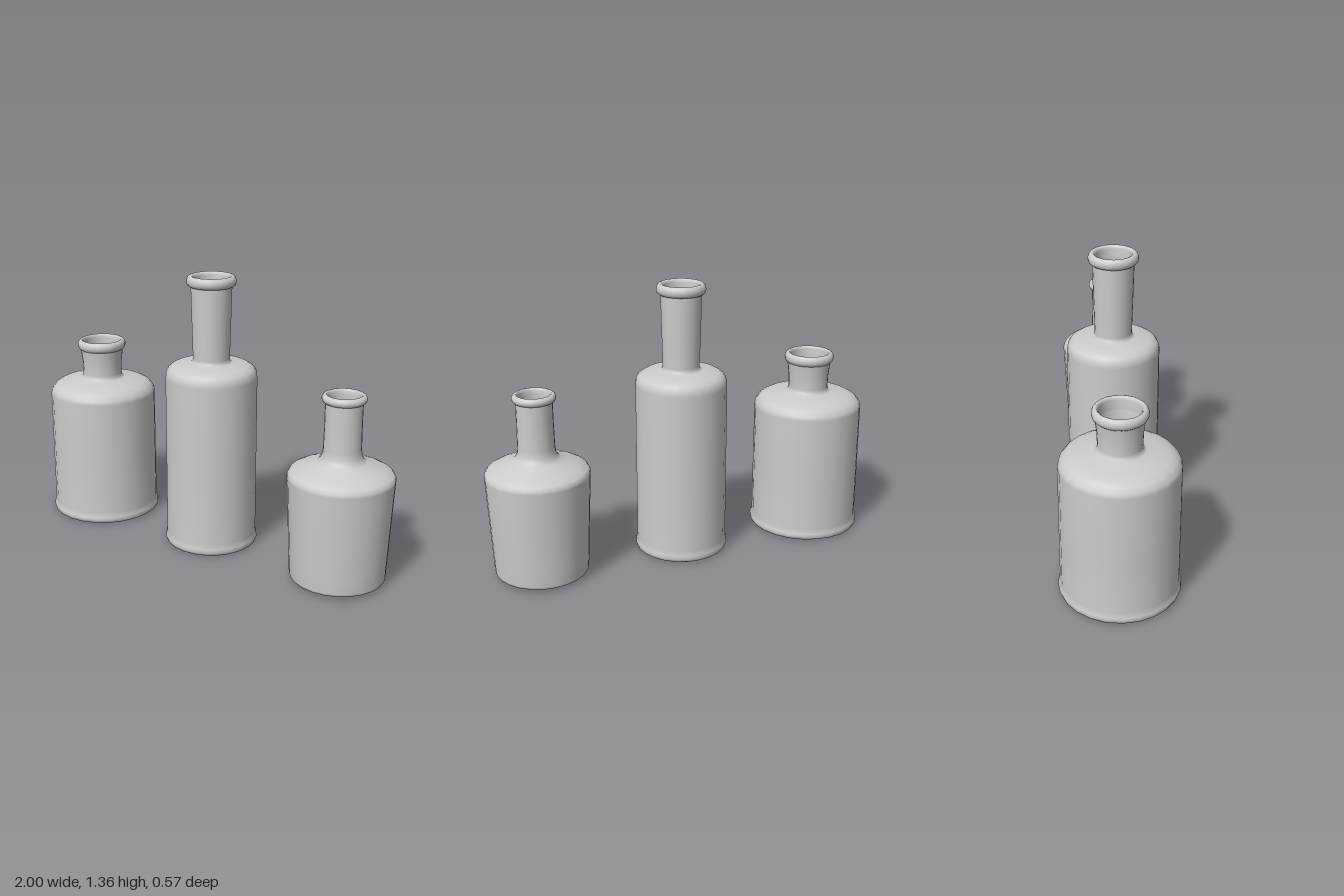
import * as THREE from 'three';

const SEGMENTS = 24;
const WALL = 0.014;

const material = new THREE.MeshStandardMaterial({ color: 0xcccccc, side: THREE.DoubleSide });

function lathe(name, points) {
  const geometry = new THREE.LatheGeometry(points.map(([r, y]) => new THREE.Vector2(r, y)), SEGMENTS);
  const mesh = new THREE.Mesh(geometry, material);
  mesh.name = name;
  return mesh;
}

// Rounded ring around the mouth, from the outside under-edge over to the bore
function lipProfile(r, bore, y0, y1) {
  const h = (y1 - y0) / 2, mid = (y0 + y1) / 2, points = [[bore + 0.004, y0]];
  for (let i = 0; i <= 8; i++) {
    const a = -Math.PI / 2 + (i / 8) * Math.PI;
    points.push([r - 0.02 + 0.02 * Math.cos(a), mid + h * Math.sin(a)]);
  }
  points.push([bore + 0.006, y1 - 0.004], [bore, y1 - 0.015], [bore, y0 - 0.01]);
  return points;
}

// outer: profile [radius, height] from the base edge up to the top of the neck
function bottle({ name, x, outer, lip }) {
  const group = new THREE.Group();
  group.name = name;
  group.position.x = x;
  const [baseR, baseY] = outer[0];
  const base = [[0, baseY], [baseR - 0.012, baseY]];
  group.add(lathe('body', [...base, ...outer]));

  // Hollow inside, following the outer wall
  const inner = outer.slice(2).reverse().map(([r, y]) => [r - WALL, y]);
  const floor = baseY + 0.03;
  const [lowR] = inner[inner.length - 1];
  group.add(lathe('innerWall', [...inner, [lowR - 0.01, floor], [0, floor]]));
  group.add(lathe('lip', lipProfile(...lip)));
  return group;
}

const BOTTLES = [
  {
    name: 'wideBottle', x: -0.715, lip: [0.125, 0.094, 0.887, 0.94],
    outer: [
      [0.268, 0.002], [0.28, 0.008], [0.285, 0.022], [0.283, 0.036], [0.275, 0.06],
      [0.275, 0.3], [0.274, 0.655], [0.269, 0.677], [0.25, 0.7], [0.22, 0.715], [0.17, 0.727],
      [0.115, 0.734], [0.103, 0.742], [0.1, 0.76], [0.102, 0.82], [0.108, 0.87], [0.112, 0.9],
    ],
  },
  {
    name: 'tallBottle', x: 0.005, lip: [0.12, 0.085, 1.31, 1.363],
    outer: [
      [0.218, 0.002], [0.228, 0.008], [0.233, 0.022], [0.231, 0.038], [0.225, 0.06],
      [0.225, 0.4], [0.225, 0.865], [0.222, 0.89], [0.21, 0.91], [0.185, 0.925], [0.14, 0.934],
      [0.102, 0.938], [0.092, 0.945], [0.09, 0.96], [0.094, 1.1], [0.098, 1.25], [0.1, 1.325],
    ],
  },
  {
    name: 'taperedBottle', x: 0.747, lip: [0.103, 0.074, 0.877, 0.917],
    outer: [
      [0.216, 0.018], [0.225, 0.022], [0.228, 0.034], [0.231, 0.1], [0.241, 0.32],
      [0.25, 0.515], [0.249, 0.53], [0.238, 0.545], [0.205, 0.562], [0.15, 0.582],
      [0.115, 0.595], [0.1, 0.608], [0.091, 0.63], [0.088, 0.66], [0.086, 0.78], [0.086, 0.89],
    ],
  },
];

export function createModel() {
  const model = new THREE.Group();
  model.name = 'bottleSet';
  BOTTLES.forEach((spec) => model.add(bottle(spec)));
  return model;
}
